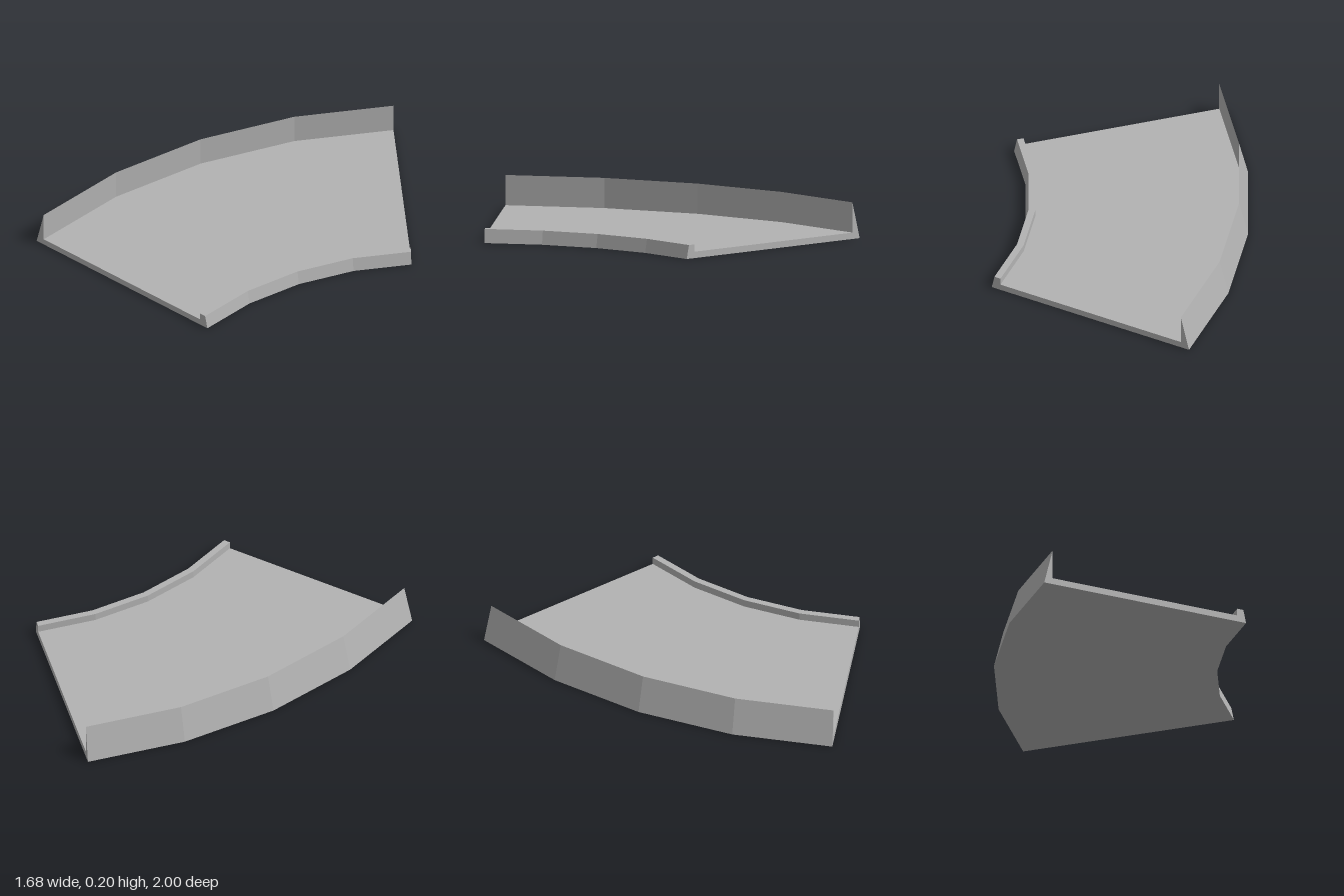
import * as THREE from 'three';

const CENTRE_X = 1.988; // centre of the bend, level with the front end
const CENTRE_Z = 1;
const SEGMENTS = 4;
const ANGLE = Math.PI / 4;

// Place a point (x, y) of the front cross-section at a step along the bend
function place([x, y], step) {
  const a = (ANGLE * step) / SEGMENTS;
  const r = CENTRE_X - x;
  return [CENTRE_X - r * Math.cos(a), y, CENTRE_Z - r * Math.sin(a)];
}

// Sweep a convex, counter-clockwise section round the bend.
// Edges listed in joined touch a neighbouring part and get no surface.
function sweep(name, section, joined, material) {
  const n = section.length;
  const positions = [];
  const triangle = (...corners) => corners.forEach((c) => positions.push(...c));

  for (let s = 0; s < SEGMENTS; s++) {
    section.forEach((p, i) => {
      if (joined.includes(i)) return;
      const q = section[(i + 1) % n];
      const a = place(p, s), b = place(q, s);
      const c = place(p, s + 1), d = place(q, s + 1);
      triangle(a, c, b);
      triangle(b, c, d);
    });
  }

  // End caps
  for (let i = 1; i < n - 1; i++) {
    const [p, q, r] = [section[0], section[i], section[i + 1]];
    triangle(place(p, 0), place(q, 0), place(r, 0));
    triangle(place(p, SEGMENTS), place(r, SEGMENTS), place(q, SEGMENTS));
  }

  const geometry = new THREE.BufferGeometry();
  geometry.setAttribute('position', new THREE.Float32BufferAttribute(positions, 3));
  geometry.computeVertexNormals();
  const mesh = new THREE.Mesh(geometry, material);
  mesh.name = name;
  return mesh;
}

export function createModel() {
  const group = new THREE.Group();
  group.name = 'curvedTrack';
  const grey = new THREE.MeshStandardMaterial({ color: 0xb2b2b2, flatShading: true });
  grey.name = 'grey';

  // Flat floor between the two edges
  group.add(sweep('deck',
    [[-0.79, 0], [0.315, 0], [0.315, 0.035], [-0.79, 0.035]], [1, 3], grey));

  // Tall outer wall, tapering to a sharp top
  group.add(sweep('outerWall',
    [[-0.84, 0], [-0.79, 0], [-0.79, 0.035], [-0.79, 0.2]], [1], grey));

  // Low inner curb with a sloped outside
  group.add(sweep('innerCurb',
    [[0.315, 0], [0.368, 0], [0.352, 0.075], [0.315, 0.075], [0.315, 0.035]], [4], grey));

  return group;
}
